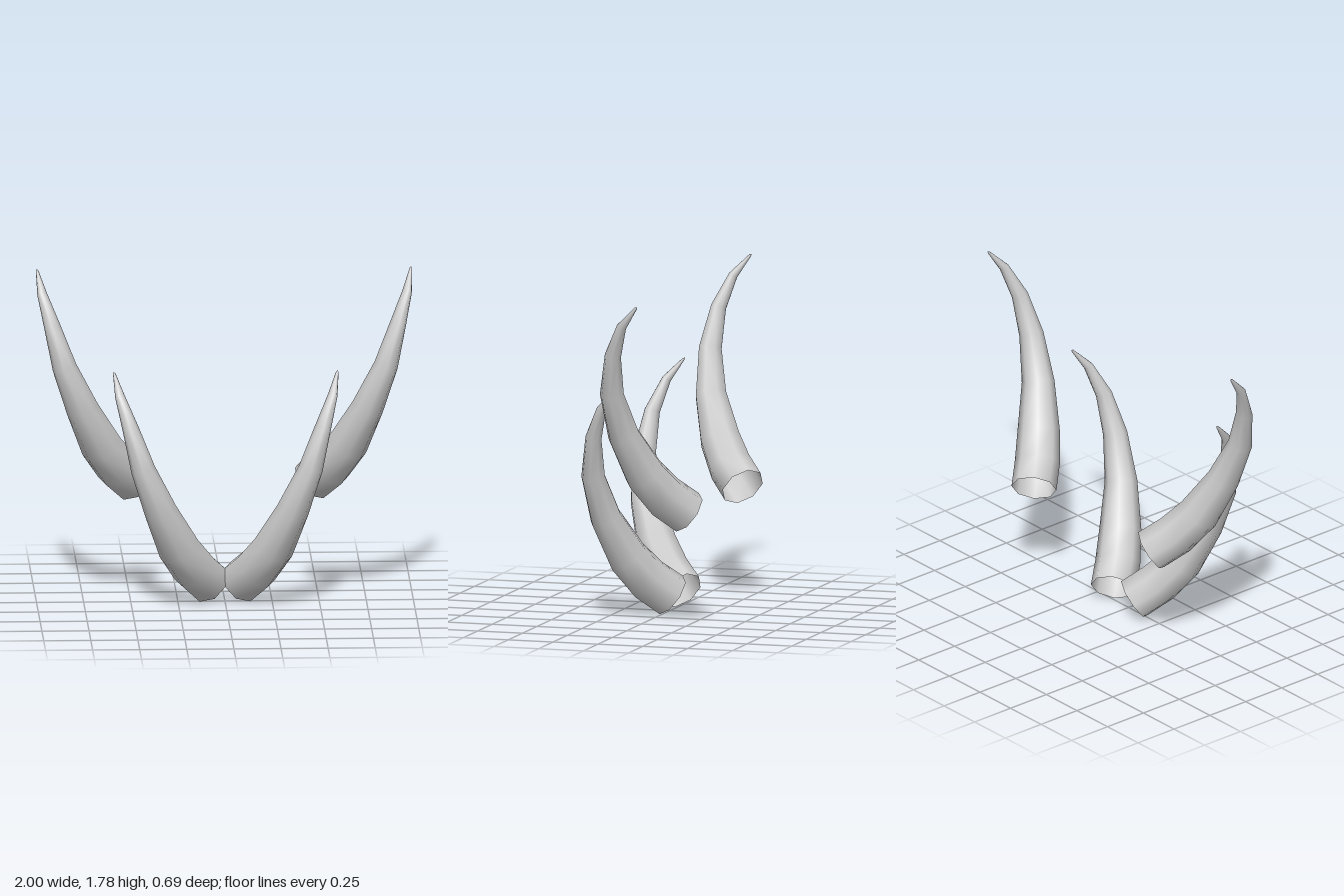
import * as THREE from 'three';

// Cross-sections of one horn from open base to tip: x, y, z, radius
const SECTIONS = [
  [0.085, 0.11, -0.035, 0.12],
  [0.165, 0.2, 0.065, 0.12],
  [0.25, 0.33, 0.155, 0.112],
  [0.35, 0.55, 0.245, 0.087],
  [0.445, 0.785, 0.285, 0.065],
  [0.51, 1.0, 0.262, 0.044],
  [0.565, 1.165, 0.2, 0.026],
  [0.592, 1.272, 0.114, 0.007],
];
const SIDES = 8;

// Hollow tapering horn: one octagonal ring per section, closed at the tip
function hornGeometry() {
  const centres = SECTIONS.map(([x, y, z]) => new THREE.Vector3(x, y, z));
  const side = new THREE.Vector3(0.7, 0, -0.72);
  const positions = [];
  const index = [];
  const last = centres.length - 1;

  centres.forEach((c, i) => {
    const tangent = centres[Math.min(i + 1, last)].clone()
      .sub(centres[Math.max(i - 1, 0)]).normalize();
    // Carry the sideways axis along the curve so the rings do not twist
    side.addScaledVector(tangent, -side.dot(tangent)).normalize();
    const up = tangent.clone().cross(side);
    for (let j = 0; j < SIDES; j++) {
      const a = (j / SIDES) * Math.PI * 2;
      const p = c.clone()
        .addScaledVector(side, Math.cos(a) * SECTIONS[i][3])
        .addScaledVector(up, Math.sin(a) * SECTIONS[i][3]);
      positions.push(p.x, p.y, p.z);
    }
  });

  for (let i = 0; i < last; i++) {
    for (let j = 0; j < SIDES; j++) {
      const a = i * SIDES + j;
      const b = i * SIDES + (j + 1) % SIDES;
      index.push(a, b, b + SIDES, a, b + SIDES, a + SIDES);
    }
  }

  // Tip
  const tip = positions.length / 3;
  positions.push(0.594, 1.279, 0.107);
  for (let j = 0; j < SIDES; j++) {
    index.push(last * SIDES + j, last * SIDES + (j + 1) % SIDES, tip);
  }

  const geometry = new THREE.BufferGeometry();
  geometry.setAttribute('position', new THREE.Float32BufferAttribute(positions, 3));
  geometry.setIndex(index);
  geometry.computeVertexNormals();
  return geometry;
}

export function createModel() {
  const model = new THREE.Group();
  model.name = 'horns';
  const geometry = hornGeometry();
  const material = new THREE.MeshStandardMaterial({ color: 0xcccccc, side: THREE.DoubleSide });

  // A front pair meeting in the middle and a higher, wider rear pair, each mirrored
  for (const [sideName, mirror] of [['left', 1], ['right', -1]]) {
    const half = new THREE.Group();
    half.name = `${sideName}Horns`;
    half.scale.x = mirror;

    const front = new THREE.Mesh(geometry, material);
    front.name = `${sideName}FrontHorn`;

    const rear = new THREE.Mesh(geometry, material);
    rear.name = `${sideName}RearHorn`;
    rear.position.set(0.395, 0.51, -0.213);
    rear.rotation.y = 0.05;

    half.add(front, rear);
    model.add(half);
  }
  return model;
}
